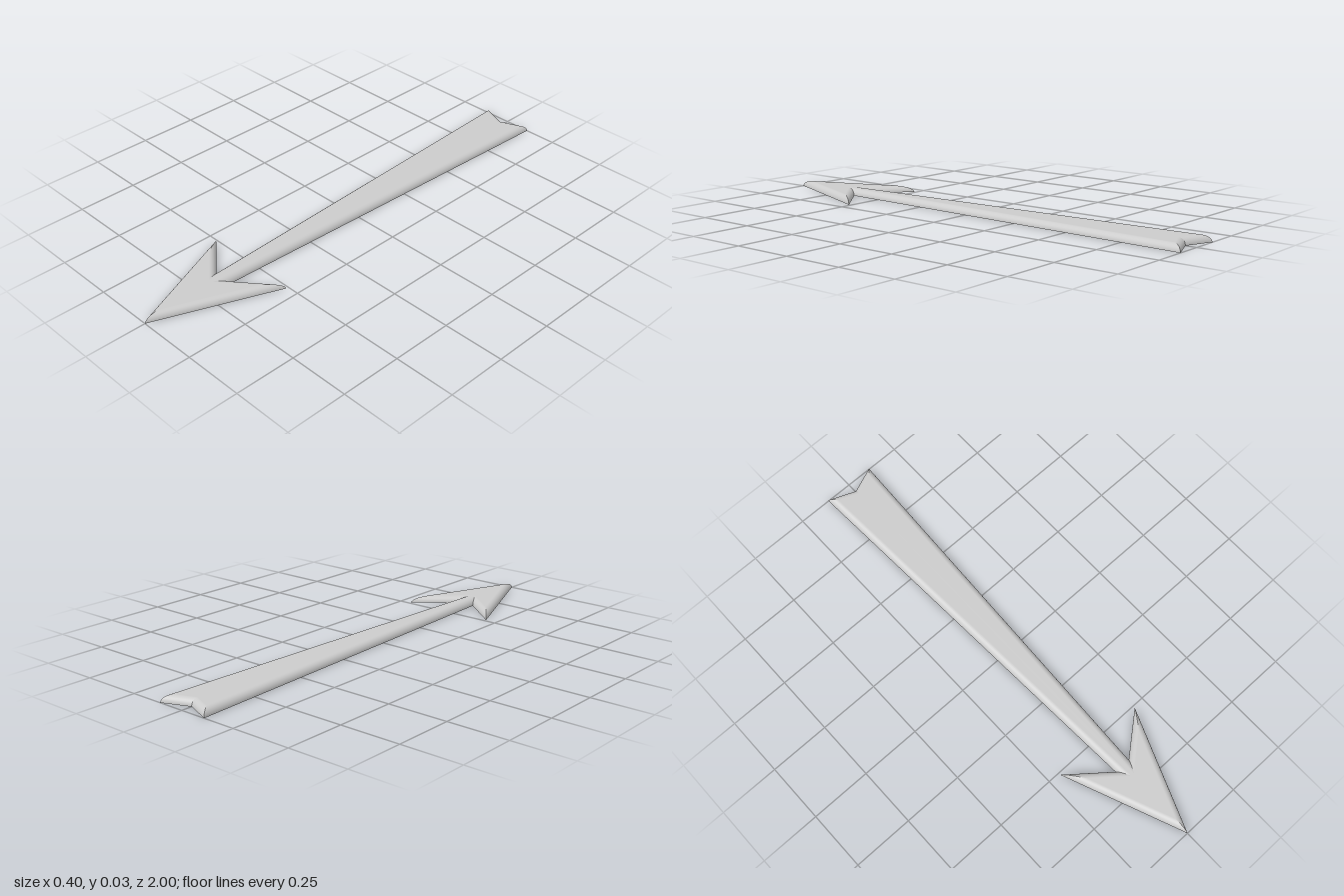
import * as THREE from 'three';

const HEIGHT = 0.028; // overall thickness
const INSET = 0.026;  // width of the rounded rim
const STEPS = 8;

// Half outline in (x, z): tip, barb, neck, tail corner, tail notch
const half = [[0, 1], [0.2, 0.51], [0.035, 0.645], [0.111, -1], [0, -0.955]];

export function createModel() {
  const group = new THREE.Group();
  group.name = 'arrow';
  const material = new THREE.MeshStandardMaterial({ color: 0xcccccc, side: THREE.DoubleSide });

  // Mirror to a closed outline
  const mirrored = half.slice(1, -1).reverse().map(([x, z]) => [-x, z]);
  const outline = [...half, ...mirrored].map(([x, z]) => new THREE.Vector2(x, z));
  const count = outline.length;

  // Inward normal of each edge, then the mitre direction at each corner
  const normals = outline.map((p, i) => {
    const d = outline[(i + 1) % count].clone().sub(p).normalize();
    return new THREE.Vector2(d.y, -d.x);
  });
  const mitres = normals.map((n, i) => {
    const prev = normals[(i + count - 1) % count];
    return n.clone().add(prev).divideScalar(1 + n.dot(prev));
  });
  const inset = (i, amount) => outline[i].clone().addScaledVector(mitres[i], amount);

  // Quarter-round rim: one smooth strip per side, sharp at the corners
  const rim = new THREE.Group();
  rim.name = 'roundedRim';
  for (let i = 0; i < count; i++) {
    const positions = [], shading = [], index = [];
    for (let s = 0; s <= STEPS; s++) {
      const a = (s / STEPS) * Math.PI / 2;
      for (const corner of [i, (i + 1) % count]) {
        const p = inset(corner, INSET * (1 - Math.cos(a)));
        positions.push(p.x, HEIGHT * Math.sin(a), p.y);
        shading.push(-normals[i].x * Math.cos(a), Math.sin(a), -normals[i].y * Math.cos(a));
      }
      if (s < STEPS) {
        const k = s * 2;
        index.push(k, k + 1, k + 3, k, k + 3, k + 2);
      }
    }
    const strip = new THREE.BufferGeometry();
    strip.setAttribute('position', new THREE.Float32BufferAttribute(positions, 3));
    strip.setAttribute('normal', new THREE.Float32BufferAttribute(shading, 3));
    strip.setIndex(index);
    const mesh = new THREE.Mesh(strip, material);
    mesh.name = 'rimSide';
    rim.add(mesh);
  }
  group.add(rim);

  // Flat top; the underside stays open
  const shape = new THREE.Shape(outline.map((_, i) => {
    const p = inset(i, INSET);
    return new THREE.Vector2(p.x, -p.y);
  }));
  const top = new THREE.Mesh(new THREE.ShapeGeometry(shape).rotateX(-Math.PI / 2), material);
  top.position.y = HEIGHT;
  top.name = 'flatTop';
  group.add(top);

  return group;
}
